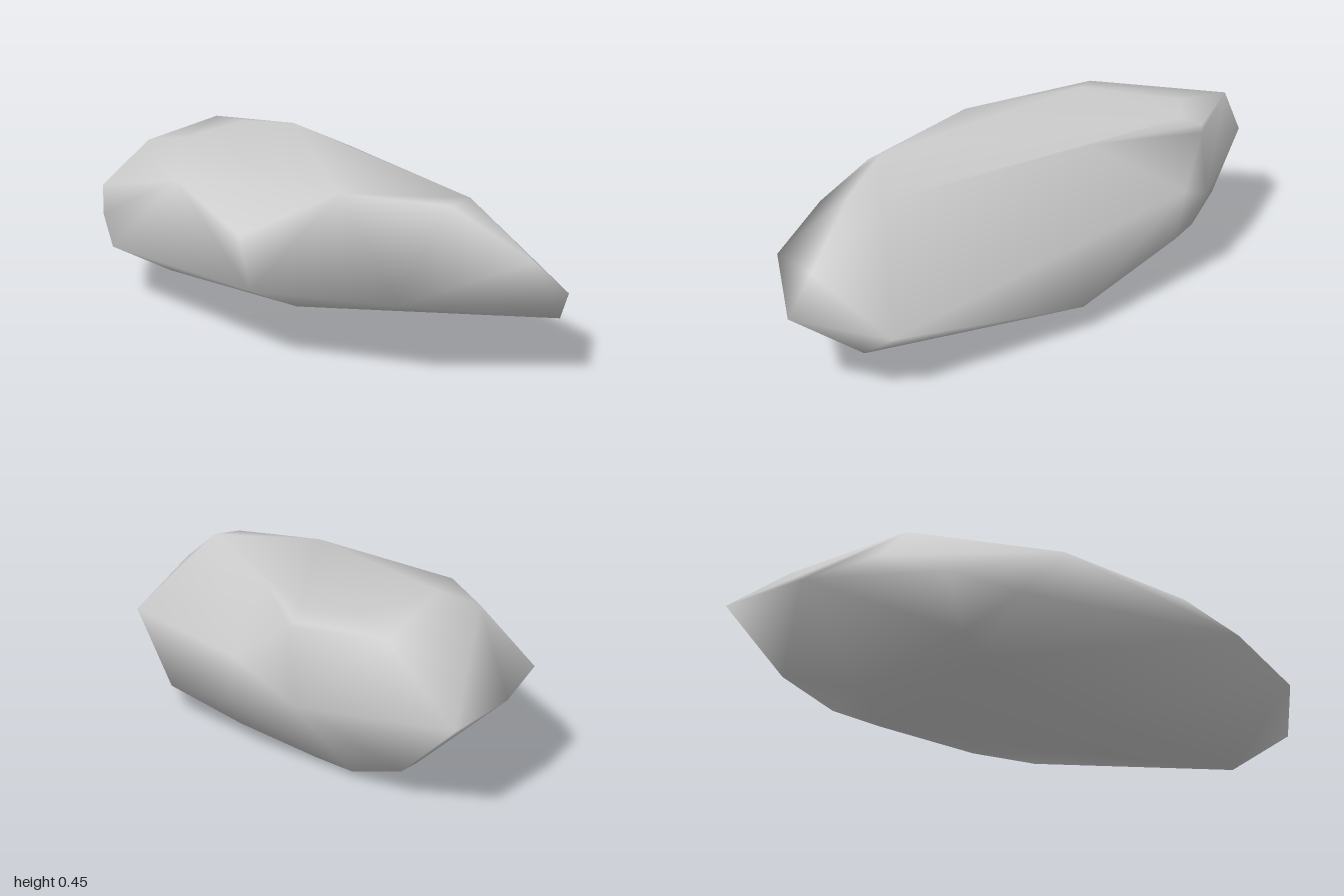
import * as THREE from 'three';
import { ConvexGeometry } from 'three/addons/geometries/ConvexGeometry.js';
import { mergeVertices } from 'three/addons/utils/BufferGeometryUtils.js';

// Corner points of the boulder, grouped by zone: [x, y, z]
const roof = [
  [-0.135, 0.45, -0.45], [0.18, 0.45, -0.58], [0.295, 0.45, -0.45], [0.335, 0.423, -0.5],
  [0.2, 0.43, -0.79], [0.25, 0.445, -0.07], [0.19, 0.44, 0.15], [0.14, 0.437, 0.65],
  [0.04, 0.435, 0.68], [-0.14, 0.44, 0.41], [-0.2, 0.43, -0.57],
];
const rightFlank = [
  [-0.35, 0.4, -0.13], [-0.38, 0.32, 0.26], [-0.47, 0.165, -0.33], [-0.4, 0.22, -0.52],
  [-0.31, 0.27, -0.69], [-0.13, 0.24, -0.85], [-0.44, 0.205, 0.41], [-0.2, 0.21, 0.76],
];
const leftFlank = [
  [0.35, 0.405, -0.48], [0.44, 0.285, -0.3], [0.35, 0.19, -0.52], [0.44, 0.14, -0.26],
  [0.465, 0.07, 0.18], [0.37, 0.16, 0.82],
];
const tips = [[0.16, 0.21, 1], [0.15, 0.31, 0.91], [0.11, 0.23, -1]];
const base = [
  [-0.07, 0.01, 0.1], [0.2, 0.015, 0.22], [0.345, 0.015, -0.1], [0.25, 0.005, -0.45],
  [0.02, 0, -0.4], [0.02, 0.01, -0.62], [0.22, 0.015, -0.62], [0.16, 0.065, -0.8],
  [-0.26, 0.05, -0.34], [-0.31, 0.09, -0.43], [0.3, 0.11, 0.86],
];

export function createModel() {
  const group = new THREE.Group();
  group.name = 'rock';

  // Wrap the corners in a faceted hull, then share vertices for soft shading
  const corners = [...roof, ...rightFlank, ...leftFlank, ...tips, ...base];
  const hull = new ConvexGeometry(corners.map((p) => new THREE.Vector3(...p)));
  hull.deleteAttribute('normal');
  const geometry = mergeVertices(hull);
  geometry.computeVertexNormals();

  const boulder = new THREE.Mesh(geometry, new THREE.MeshStandardMaterial({ color: 0xcccccc }));
  boulder.name = 'boulder';
  group.add(boulder);
  return group;
}
